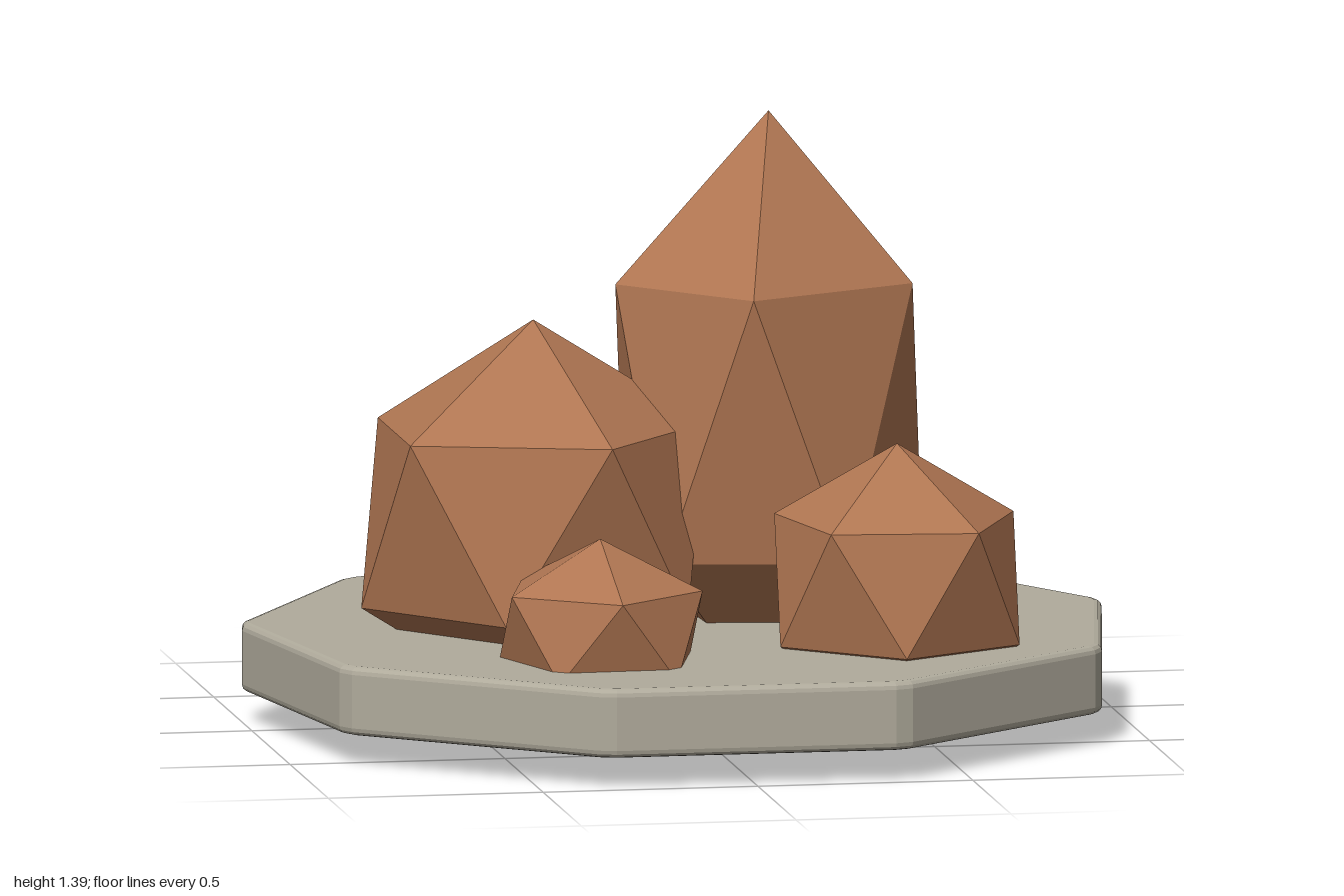
import * as THREE from 'three';

const stone = new THREE.MeshStandardMaterial({ color: 0xb0ab9c, flatShading: true });
stone.name = 'pale stone';
const copper = new THREE.MeshStandardMaterial({ color: 0xb07652, flatShading: true });
copper.name = 'copper brown crystal';

// Nine-sided slab with softened corners and rounded rims
function makeBase() {
  const sides = 9, bevel = 0.018, cut = 0.02;
  const radius = 1.02 - bevel / Math.cos(Math.PI / sides);
  const corners = [];
  for (let i = 0; i < sides; i++) {
    const a = Math.PI / 2 + (i * 2 * Math.PI) / sides;
    corners.push(new THREE.Vector2(Math.cos(a) * radius, Math.sin(a) * radius));
  }
  const edge = 2 * radius * Math.sin(Math.PI / sides);
  const outline = [];
  corners.forEach((c, i) => {
    const before = corners[(i + sides - 1) % sides];
    const after = corners[(i + 1) % sides];
    outline.push(c.clone().lerp(before, cut / edge), c.clone().lerp(after, cut / edge));
  });
  const geo = new THREE.ExtrudeGeometry(new THREE.Shape(outline), {
    depth: 0.16 - 2 * bevel,
    bevelEnabled: true,
    bevelSize: bevel,
    bevelThickness: bevel,
    bevelSegments: 3,
  });
  geo.rotateX(-Math.PI / 2);
  geo.translate(0, 0.08 + bevel, 0.026);
  const mesh = new THREE.Mesh(geo, stone);
  mesh.name = 'stoneBase';
  return mesh;
}

// Stretched icosahedron standing on a point; a and b are the radii of its rings
function makeCrystal({ name, at, a, b, h, yaw }) {
  const ring = 2 / Math.sqrt(5);
  const geo = new THREE.IcosahedronGeometry(1, 0);
  geo.rotateX(-Math.atan((1 + Math.sqrt(5)) / 2));
  geo.rotateY(Math.PI / 2);
  geo.scale(a / ring, h, b / ring);
  geo.rotateY(-THREE.MathUtils.degToRad(yaw));
  geo.translate(...at);
  const mesh = new THREE.Mesh(geo, copper);
  mesh.name = name;
  return mesh;
}

export function createModel() {
  const model = new THREE.Group();
  model.name = 'crystalCluster';
  model.add(makeBase());
  const crystals = [
    { name: 'tallCrystal', at: [0.22, 0.705, -0.1], a: 0.387, b: 0.342, h: 0.695, yaw: -42 },
    { name: 'wideCrystal', at: [-0.35, 0.495, 0.025], a: 0.4, b: 0.363, h: 0.455, yaw: 0 },
    { name: 'smallCrystal', at: [0.43, 0.385, 0.4], a: 0.292, b: 0.287, h: 0.315, yaw: 60 },
    { name: 'tinyCrystal', at: [-0.28, 0.305, 0.51], a: 0.25, b: 0.235, h: 0.21, yaw: 88 },
  ];
  for (const c of crystals) model.add(makeCrystal(c));
  return model;
}
